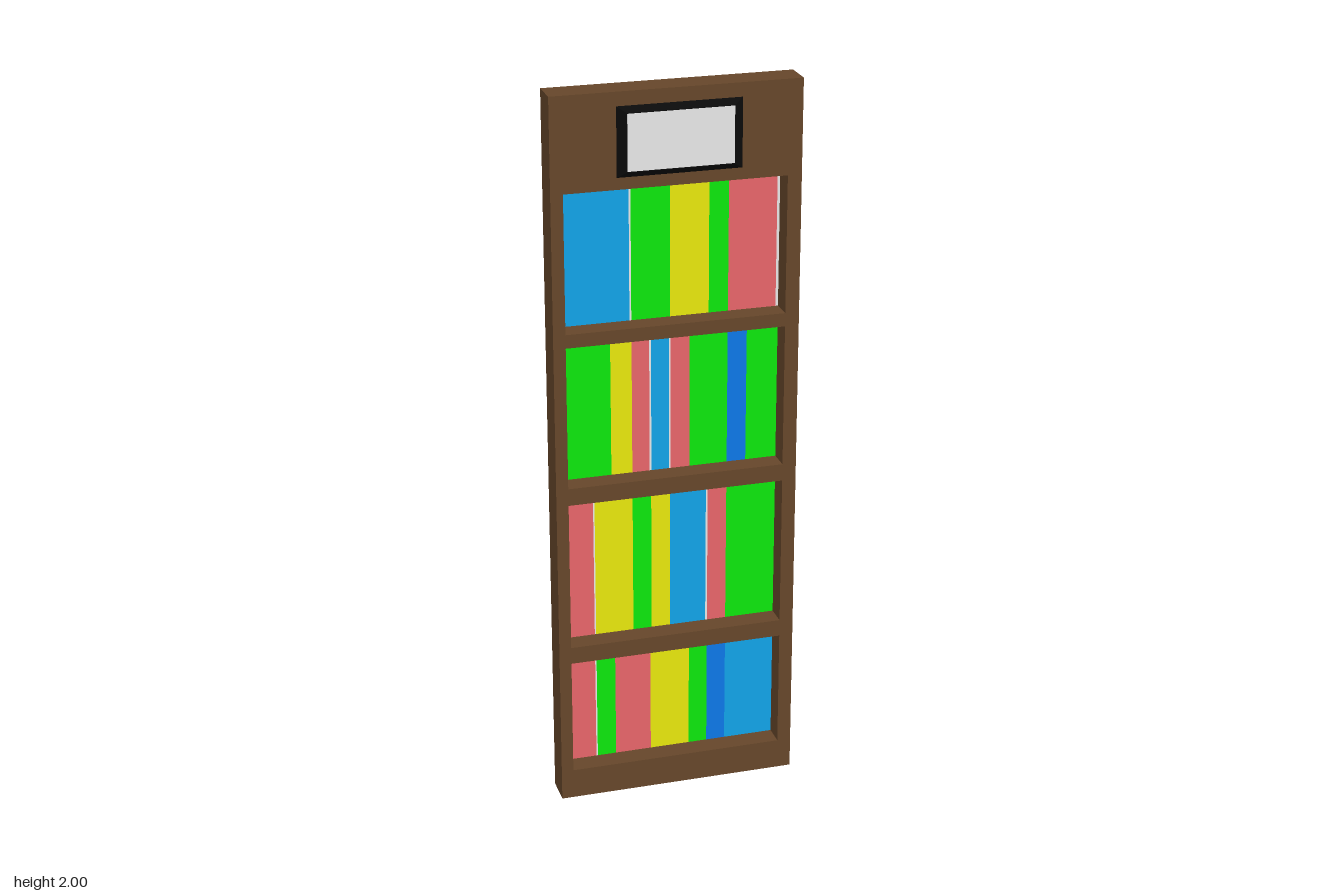
import * as THREE from 'three';

const mat = (name, color) => Object.assign(new THREE.MeshStandardMaterial({ color }), { name });

export function createModel() {
  const group = new THREE.Group();
  const wood = mat('brown wood', 0x66462a);
  const black = mat('black', 0x0a0a0a);
  const white = mat('off white', 0xf8f8f8);
  const books = {
    g: mat('green', 0x10ff10),
    y: mat('yellow', 0xffff10),
    r: mat('soft red', 0xff7075),
    b: mat('sky blue', 0x14b4ff),
    d: mat('deep blue', 0x1084ff),
    w: white,
  };
  const add = (name, geometry, material, parent = group) => {
    const mesh = new THREE.Mesh(geometry, material);
    mesh.name = name;
    parent.add(mesh);
    return mesh;
  };
  const block = (name, x0, x1, y0, y1, z0, z1, material, parent) => {
    const mesh = add(name, new THREE.BoxGeometry(x1 - x0, y1 - y0, z1 - z0), material, parent);
    mesh.position.set((x0 + x1) / 2, (y0 + y1) / 2, (z0 + z1) / 2);
    return mesh;
  };
  const rect = (Type, x0, x1, y0, y1) => new Type().moveTo(x0, y0).lineTo(x1, y0).lineTo(x1, y1).lineTo(x0, y1).closePath();

  const W = 0.333, L = -0.3, R = 0.295, FRONT = 0.035, INNER = -0.03, BACK = -0.05;

  // Each row: opening bottom and top, then [colour, right edge] from left to right
  const rows = [
    { y0: 0.085, y1: 0.418, spines: [['r', -0.218], ['w', -0.214], ['g', -0.161], ['r', -0.06], ['y', 0.051], ['g', 0.103], ['d', 0.156], ['b', R]] },
    { y0: 0.466, y1: 0.889, spines: [['r', -0.218], ['w', -0.214], ['y', -0.108], ['g', -0.056], ['y', -0.003], ['b', 0.098], ['w', 0.103], ['r', 0.156], ['g', R]] },
    { y0: 0.937, y1: 1.333, spines: [['g', -0.166], ['y', -0.108], ['r', -0.06], ['w', -0.055], ['b', -0.006], ['w', -0.002], ['r', 0.051], ['g', 0.156], ['d', 0.209], ['g', R]] },
    { y0: 1.37, y1: 1.746, spines: [['g', -0.29], ['b', -0.113], ['w', -0.108], ['g', -0.003], ['y', 0.103], ['g', 0.156], ['r', 0.288], ['w', R]] },
  ];

  // Case front with shelf openings, closed by a back panel
  const face = rect(THREE.Shape, -W, W, 0, 2);
  for (const { y0, y1 } of rows) face.holes.push(rect(THREE.Path, L, R, y0, y1));
  add('caseFrame', new THREE.ExtrudeGeometry(face, { depth: FRONT - INNER, bevelEnabled: false }), wood).position.z = INNER;
  block('backPanel', -W, W, 0, 2, BACK, INNER, wood);

  // Rows of coloured book spines
  rows.forEach(({ y0, y1, spines }, i) => {
    const row = new THREE.Group();
    row.name = `bookRow${i + 1}`;
    group.add(row);
    let x = L;
    for (const [key, edge] of spines) {
      block('bookSpine', x, edge, y0, y1, INNER, INNER + 0.004, books[key], row);
      x = edge;
    }
  });

  // Sloping underside above the third row
  const wedge = new THREE.Shape().moveTo(-FRONT, 1.334).lineTo(-INNER, 1.334).lineTo(-INNER, 1.311).closePath();
  const slope = add('shelfUnderside', new THREE.ExtrudeGeometry(wedge, { depth: R - L, bevelEnabled: false }), wood);
  slope.rotation.y = Math.PI / 2;
  slope.position.x = L;

  // Display with a bezel that narrows toward the front
  const bezel = new THREE.BoxGeometry(0.332, 0.185, 0.013);
  const p = bezel.attributes.position;
  for (let i = 0; i < p.count; i++) {
    if (p.getZ(i) > 0) p.setXY(i, Math.sign(p.getX(i)) * 0.142, Math.sign(p.getY(i)) * 0.077);
  }
  const flat = bezel.toNonIndexed();
  flat.computeVertexNormals();
  add('displayBezel', flat, black).position.set(0.006, 1.87, 0.0415);
  block('displayScreen', -0.135, 0.147, 1.795, 1.945, 0.045, 0.0488, white);

  return group;
}
